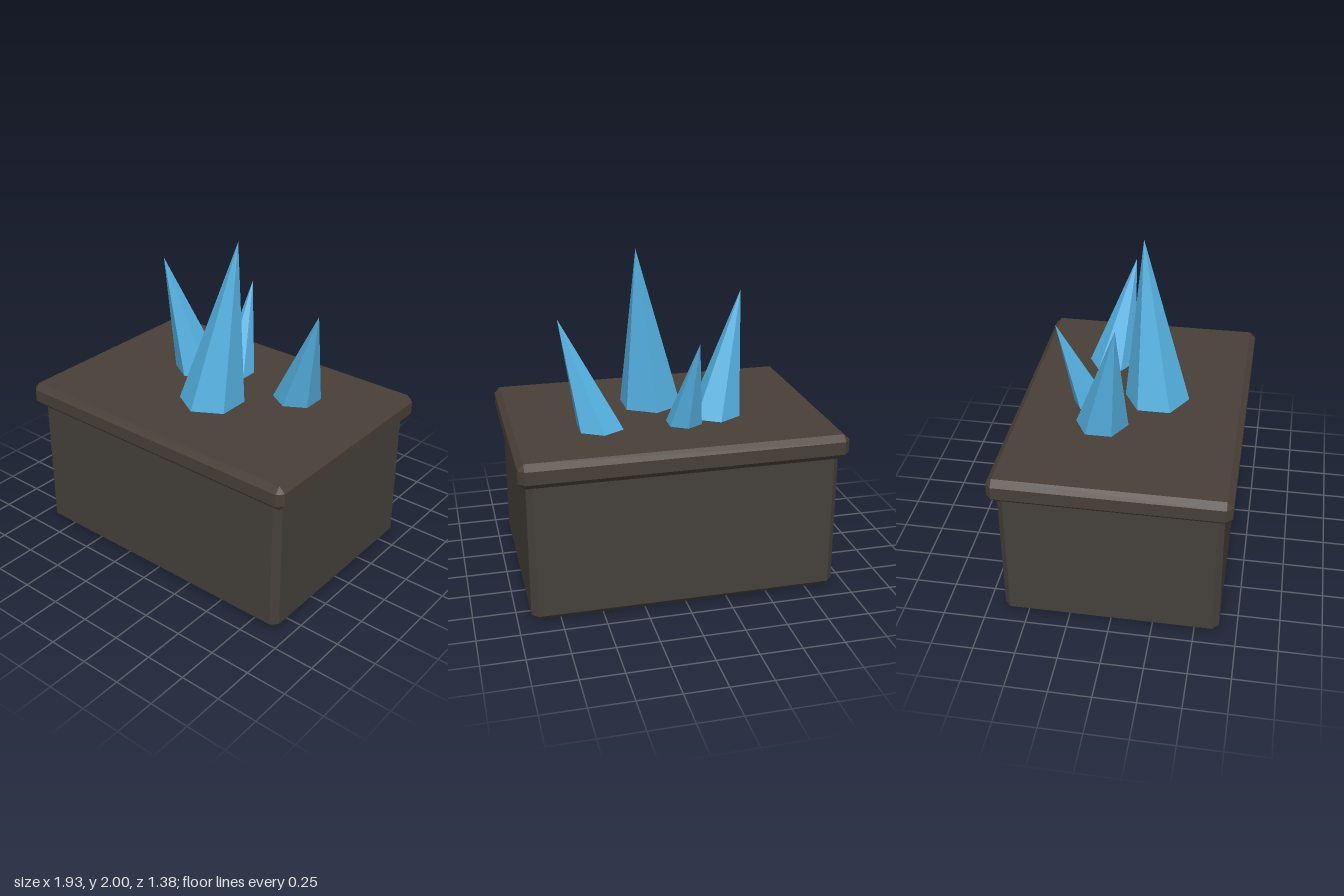
import * as THREE from 'three';
import { ConvexGeometry } from 'three/addons/geometries/ConvexGeometry.js';

const stone = new THREE.MeshStandardMaterial({ color: 0x45403a, flatShading: true });
stone.name = 'dark stone';
const lidStone = new THREE.MeshStandardMaterial({ color: 0x483f37, flatShading: true });
lidStone.name = 'warm dark stone';
const ice = new THREE.MeshStandardMaterial({ color: 0x54b0e0, flatShading: true });
ice.name = 'crystal blue';

// Box with every edge cut at 45 degrees: three corner points per corner
function chamferedBox(name, hx, y0, y1, hz, c, material) {
  const hy = (y1 - y0) / 2;
  const points = [];
  for (const sx of [-1, 1]) for (const sy of [-1, 1]) for (const sz of [-1, 1]) {
    points.push(
      new THREE.Vector3(sx * hx, sy * (hy - c), sz * (hz - c)),
      new THREE.Vector3(sx * (hx - c), sy * hy, sz * (hz - c)),
      new THREE.Vector3(sx * (hx - c), sy * (hy - c), sz * hz)
    );
  }
  const mesh = new THREE.Mesh(new ConvexGeometry(points), material);
  mesh.position.y = (y0 + y1) / 2;
  mesh.name = name;
  return mesh;
}

// Six-sided spike rising from the lid, sheared so its tip leans over
function crystal(name, x, z, radius, tip) {
  const height = tip[1] - 1;
  const geometry = new THREE.ConeGeometry(radius, height, 6, 1, true).toNonIndexed();
  geometry.translate(0, height / 2, 0);
  const p = geometry.attributes.position;
  for (let i = 0; i < p.count; i++) {
    const t = p.getY(i) / height;
    p.setX(i, p.getX(i) + (tip[0] - x) * t);
    p.setZ(i, p.getZ(i) + (tip[2] - z) * t);
  }
  geometry.computeVertexNormals();
  const mesh = new THREE.Mesh(geometry, ice);
  mesh.position.set(x, 1, z);
  mesh.name = name;
  return mesh;
}

export function createModel() {
  const model = new THREE.Group();
  model.name = 'crystalBox';

  // Box and overhanging lid
  model.add(chamferedBox('body', 0.92, 0, 0.93, 0.645, 0.038, stone));
  model.add(chamferedBox('lid', 0.965, 0.85, 1, 0.69, 0.036, lidStone));

  // Crystal cluster
  const crystals = new THREE.Group();
  crystals.name = 'crystals';
  crystals.add(
    crystal('tallCrystal', 0.04, 0.14, 0.198, [0.15, 2, 0.035]),
    crystal('rightCrystal', -0.293, -0.145, 0.158, [-0.48, 1.735, -0.03]),
    crystal('leftCrystal', 0.423, -0.205, 0.146, [0.64, 1.637, -0.08]),
    crystal('backCrystal', -0.076, -0.247, 0.111, [-0.115, 1.543, -0.45])
  );
  model.add(crystals);
  return model;
}
